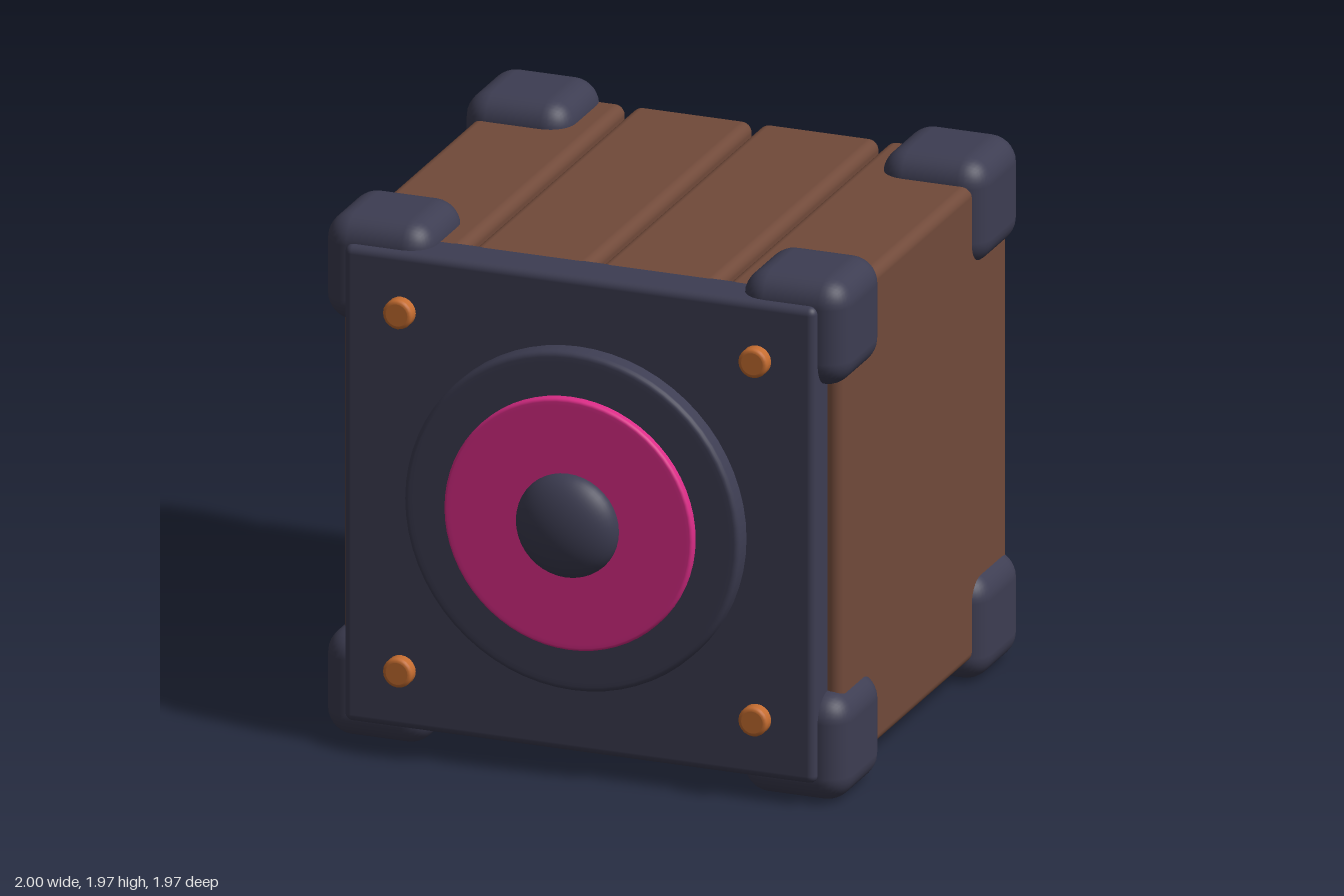
import * as THREE from 'three';
import { RoundedBoxGeometry } from 'three/addons/geometries/RoundedBoxGeometry.js';

const material = (name, color) => {
  const m = new THREE.MeshStandardMaterial({ color });
  m.name = name;
  return m;
};

export function createModel() {
  const wood = material('brown wood', 0x714a3a);
  const dark = material('dark slate', 0x3d3d52);
  const pink = material('pink', 0xdb2c87);
  const copper = material('copper', 0xc46c30);

  const group = new THREE.Group();
  group.name = 'speakerCrate';
  const midY = 0.99;

  const add = (name, geometry, mat, x, y, z) => {
    const mesh = new THREE.Mesh(geometry, mat);
    mesh.name = name;
    mesh.position.set(x, y, z);
    group.add(mesh);
    return mesh;
  };

  // Disc facing +z with a rounded front rim; its back lies at z = 0
  const disc = (r, h, bevel, segments) => {
    const points = [[r, 0], [r, h - bevel]];
    for (let i = 1; i <= 4; i++) {
      const a = (i / 4) * Math.PI / 2;
      points.push([r - bevel + bevel * Math.cos(a), h - bevel + bevel * Math.sin(a)]);
    }
    points.push([(r - bevel) * 0.97, h], [0, h]);
    return new THREE.LatheGeometry(points.map(p => new THREE.Vector2(...p)), segments).rotateX(Math.PI / 2);
  };

  // Four thick wooden slabs with narrow gaps between them
  const slab = new RoundedBoxGeometry(0.455, 1.8, 1.61, 4, 0.04);
  for (let i = 0; i < 4; i++) {
    add('woodSlab', slab, wood, (i - 1.5) * 0.484, midY, -0.148);
  }

  // Front panel
  add('frontPanel', new RoundedBoxGeometry(1.8, 1.8, 0.19, 4, 0.03), dark, 0, midY, 0.685);

  // Rounded corner guards
  const guard = new RoundedBoxGeometry(0.41, 0.405, 0.405, 4, 0.1);
  for (const x of [-0.795, 0.795]) {
    for (const y of [0.207, 1.775]) {
      for (const z of [-0.785, 0.55]) add('cornerGuard', guard, dark, x, y, z);
    }
  }

  // Speaker: outer ring, coloured cone and domed centre
  add('speakerRing', disc(0.64, 0.1, 0.02, 64), dark, 0, midY, 0.753);
  add('speakerCone', disc(0.475, 0.06, 0.012, 64), pink, 0, midY, 0.825);
  const dome = new THREE.SphereGeometry(0.195, 40, 16, 0, Math.PI * 2, 0, Math.PI / 2);
  dome.rotateX(Math.PI / 2).scale(1, 1, 0.53);
  add('speakerDome', dome, dark, 0, midY, 0.884);

  // Panel screws
  const screw = disc(0.056, 0.065, 0.014, 20);
  for (const x of [-0.678, 0.678]) {
    for (const y of [0.315, 1.67]) add('screw', screw, copper, x, y, 0.76);
  }

  return group;
}
